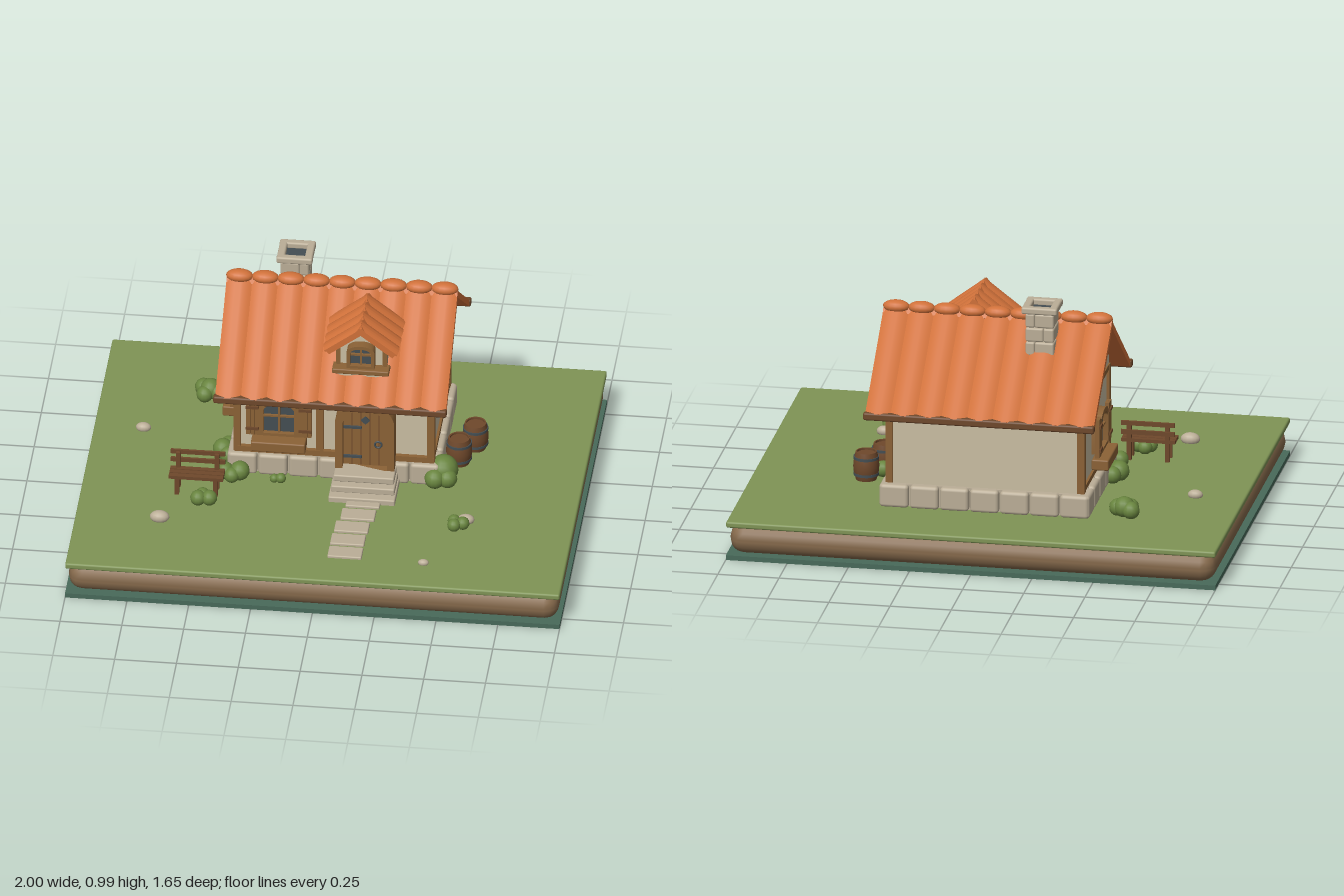
import * as THREE from 'three';
import { RoundedBoxGeometry } from 'three/addons/geometries/RoundedBoxGeometry.js';
import { toCreasedNormals } from 'three/addons/utils/BufferGeometryUtils.js';

const colours = {
  grass: 0x7f9455, soil: 0x85694b, base: 0x486a5a, plaster: 0xc9bda2, stone: 0xbbae97,
  tile: 0xd0713a, wood: 0x8b6236, darkWood: 0x6f482b, iron: 0x444e53, leaf: 0x69853f,
};
const M = {};
for (const k in colours) {
  M[k] = new THREE.MeshStandardMaterial({ color: colours[k] });
  M[k].name = k;
}

function add(parent, name, geo, mat, x = 0, y = 0, z = 0) {
  const m = new THREE.Mesh(geo, mat);
  m.name = name;
  m.position.set(x, y, z);
  parent.add(m);
  return m;
}
function group(parent, name, x = 0, y = 0, z = 0, ry = 0) {
  const g = new THREE.Group();
  g.name = name;
  g.position.set(x, y, z);
  g.rotation.y = ry;
  parent.add(g);
  return g;
}
// Boxes given by their minimum and maximum on each axis
const box = (p, name, mat, x0, x1, y0, y1, z0, z1) =>
  add(p, name, new THREE.BoxGeometry(x1 - x0, y1 - y0, z1 - z0), mat, (x0 + x1) / 2, (y0 + y1) / 2, (z0 + z1) / 2);
const rbox = (p, name, mat, x0, x1, y0, y1, z0, z1, r = 0.01) =>
  add(p, name, new RoundedBoxGeometry(x1 - x0, y1 - y0, z1 - z0, 2, r), mat, (x0 + x1) / 2, (y0 + y1) / 2, (z0 + z1) / 2);
const extrude = (shape, depth) =>
  toCreasedNormals(new THREE.ExtrudeGeometry(shape, { depth, bevelEnabled: false, curveSegments: 12 }), 0.6);

// Arched outline standing on y0
function arch(w, h, rise, y0 = 0, Type = THREE.Shape) {
  const s = new Type();
  s.moveTo(-w / 2, y0);
  s.lineTo(w / 2, y0);
  s.lineTo(w / 2, h - rise);
  s.absellipse(0, h - rise, w / 2, rise, 0, Math.PI, false);
  s.lineTo(-w / 2, y0);
  return s;
}
function archFrame(w, h, rise, t, sill) {
  const s = arch(w + 2 * t, h + t, rise + t * 0.6, -sill);
  s.holes.push(arch(w, h, rise, 0, THREE.Path));
  return s;
}

// One roof slope: slab and arched tile strips running down +z from the ridge
function roofSlope(parent, name, width, count, length, angle, rise) {
  const g = group(parent, name);
  g.rotation.x = angle;
  box(g, 'roofSlab', M.tile, -width / 2, width / 2, -rise - 0.022, -rise, 0, length);
  const w = width / count;
  const s = new THREE.Shape();
  s.moveTo(-w / 2, -rise - 0.004);
  s.lineTo(w / 2, -rise - 0.004);
  s.lineTo(w / 2, -rise + 0.003);
  s.quadraticCurveTo(0, rise, -w / 2, -rise + 0.003);
  const geo = extrude(s, length + 0.006);
  for (let i = 0; i < count; i++) add(g, 'roofTile', geo, M.tile, -width / 2 + w * (i + 0.5), 0, 0);
}

function glazing(parent, w, h, rise, t, depth) {
  add(parent, 'windowFrame', extrude(archFrame(w, h, rise, t, 0.012), depth), M.wood);
  add(parent, 'glass', extrude(arch(w, h, rise), 0.008), M.iron, 0, 0, 0.012);
  box(parent, 'mullion', M.wood, -0.004, 0.004, 0, h, 0.018, 0.03);
  box(parent, 'transom', M.wood, -w / 2, w / 2, h * 0.52, h * 0.52 + 0.008, 0.018, 0.03);
}

// Window with shutters and planter box
function shutteredWindow(parent, x, y, z, ry) {
  const g = group(parent, 'shutteredWindow', x, y, z, ry);
  glazing(g, 0.125, 0.14, 0.035, 0.02, 0.04);
  for (const s of [-1, 1]) {
    for (const k of [-1, 0, 1]) {
      box(g, 'shutterPlank', M.wood, s * 0.107 + k * 0.017 - 0.008, s * 0.107 + k * 0.017 + 0.008, -0.01, 0.152, 0.024, 0.042);
    }
    for (const y0 of [0.015, 0.115]) box(g, 'shutterStrap', M.darkWood, s * 0.107 - 0.026, s * 0.107 + 0.026, y0, y0 + 0.012, 0.04, 0.048);
  }
  rbox(g, 'planterBox', M.wood, -0.11, 0.11, -0.07, -0.025, 0.005, 0.075, 0.006);
}

function bush(parent, x, z, blobs) {
  const g = group(parent, 'bush', x, 0.16, z);
  for (const [dx, dz, r] of blobs) add(g, 'foliage', new THREE.SphereGeometry(r, 14, 10), M.leaf, dx, r * 0.9, dz);
}

export function createModel() {
  const root = new THREE.Group();
  root.name = 'cottage';

  // Ground
  box(root, 'basePlate', M.base, -1, 1, 0, 0.02, -0.825, 0.825);
  rbox(root, 'soil', M.soil, -0.992, 0.992, 0.018, 0.142, -0.818, 0.818, 0.058);
  rbox(root, 'lawn', M.grass, -1, 1, 0.136, 0.162, -0.825, 0.825, 0.008);

  // Foundation stones
  box(root, 'foundationCore', M.stone, -0.405, 0.405, 0.15, 0.255, -0.505, 0.065);
  for (let i = 0; i < 7; i++) {
    const x = -0.43 + i * 0.86 / 7;
    for (const z of [0.03, -0.53]) rbox(root, 'foundationStone', M.stone, x + 0.003, x + 0.12, 0.16, 0.256, z, z + 0.06, 0.014);
  }
  for (let i = 0; i < 5; i++) {
    const z = -0.53 + i * 0.124;
    for (const x of [-0.43, 0.37]) rbox(root, 'foundationStone', M.stone, x, x + 0.06, 0.16, 0.256, z + 0.003, z + 0.121, 0.014);
  }

  // Walls and gables
  box(root, 'walls', M.plaster, -0.395, 0.395, 0.25, 0.63, -0.495, 0.055);
  const gable = new THREE.Shape([[-0.29, 0.62], [0.29, 0.62], [0.29, 0.66], [0, 0.88], [-0.29, 0.66]].map(p => new THREE.Vector2(...p)));
  const gableMesh = add(root, 'gable', extrude(gable, 0.8), M.plaster, -0.4, 0, -0.22);
  gableMesh.rotation.y = Math.PI / 2;

  // Timber framing
  for (const x of [-0.392, 0.392]) {
    for (const z of [0.058, -0.495]) box(root, 'cornerPost', M.wood, x - 0.015, x + 0.015, 0.26, 0.62, z - 0.014, z + 0.014);
    for (const y of [0.262, 0.6]) box(root, 'sideBeam', M.wood, x - 0.013, x + 0.013, y, y + 0.022, -0.49, 0.055);
  }
  box(root, 'middlePost', M.wood, -0.072, -0.043, 0.27, 0.6, 0.04, 0.071);
  box(root, 'frontSill', M.wood, -0.405, 0.405, 0.258, 0.283, 0.04, 0.073);
  box(root, 'frontTopBeam', M.wood, -0.405, 0.405, 0.59, 0.62, 0.04, 0.071);

  // Main roof
  const roof = group(root, 'mainRoof', 0, 0.915, -0.22);
  for (const ry of [0, Math.PI]) {
    const side = group(roof, 'roofSide', 0, 0, 0, ry);
    roofSlope(side, 'roofSlope', 0.934, 9, 0.525, 0.651, 0.014);
    rbox(side, 'eaveBeam', M.darkWood, -0.474, 0.47, -0.35, -0.318, 0.392, 0.424, 0.008);
  }
  for (let i = 0; i < 9; i++) {
    const cap = add(roof, 'ridgeCap', new THREE.SphereGeometry(1, 16, 10), M.tile, -0.467 + (i + 0.5) * 0.1038, -0.005, 0);
    cap.scale.set(0.055, 0.026, 0.033);
  }

  // Dormer
  const dormer = group(root, 'dormer', 0.115, 0, 0);
  const face = new THREE.Shape([[-0.1, 0.67], [0.1, 0.67], [0.1, 0.825], [0, 0.905], [-0.1, 0.825]].map(p => new THREE.Vector2(...p)));
  add(dormer, 'dormerBody', extrude(face, 0.215), M.plaster, 0, 0, -0.12);
  for (const s of [-1, 1]) {
    const side = group(dormer, 'dormerRoof', 0, 0.932, 0.003, s * Math.PI / 2);
    roofSlope(side, 'dormerSlope', 0.262, 4, 0.187, 0.655, 0.011);
    const rake = box(dormer, 'rakeBoard', M.wood, -0.085, 0.085, -0.01, 0.01, 0.095, 0.118);
    rake.position.x = s * 0.07;
    rake.position.y = 0.848;
    rake.rotation.z = -s * 0.655;
    box(dormer, 'dormerPost', M.wood, s * 0.094 - 0.009, s * 0.094 + 0.009, 0.7, 0.81, 0.085, 0.105);
  }
  glazing(group(dormer, 'dormerWindow', 0, 0.745, 0.094), 0.085, 0.08, 0.022, 0.014, 0.042);
  rbox(dormer, 'dormerSill', M.wood, -0.115, 0.115, 0.708, 0.73, 0.085, 0.145, 0.005);

  // Chimney
  const chimney = group(root, 'chimney', -0.197, 0, -0.31);
  for (let i = 0; i < 4; i++) {
    const y = 0.725 + i * 0.06;
    const cut = i % 2 ? 0.02 : -0.015;
    rbox(chimney, 'chimneyStone', M.stone, -0.058, cut, y, y + 0.058, -0.058, 0.058, 0.008);
    rbox(chimney, 'chimneyStone', M.stone, cut, 0.058, y, y + 0.058, -0.058, 0.058, 0.008);
  }
  box(chimney, 'flue', M.iron, -0.045, 0.045, 0.94, 0.97, -0.045, 0.045);
  for (const s of [-1, 1]) {
    rbox(chimney, 'chimneyCap', M.stone, -0.073, 0.073, 0.965, 0.994, s * 0.056 - 0.016, s * 0.056 + 0.016, 0.008);
    rbox(chimney, 'chimneyCap', M.stone, s * 0.056 - 0.016, s * 0.056 + 0.016, 0.965, 0.994, -0.06, 0.06, 0.008);
  }

  // Windows
  shutteredWindow(root, -0.22, 0.37, 0.058, 0);
  shutteredWindow(root, -0.397, 0.37, -0.22, -Math.PI / 2);

  // Door
  const door = group(root, 'door', 0.13, 0.242, 0.055);
  add(door, 'doorFrame', extrude(archFrame(0.18, 0.284, 0.08, 0.03, 0.004), 0.07), M.wood);
  add(door, 'doorPanel', extrude(arch(0.18, 0.284, 0.08), 0.035), M.wood);
  for (const x of [-0.054, -0.018, 0.018, 0.054]) box(door, 'plankGroove', M.darkWood, x - 0.002, x + 0.002, 0.002, 0.255, 0.03, 0.037);
  for (const y of [0.035, 0.175]) box(door, 'hinge', M.iron, -0.088, -0.015, y, y + 0.011, 0.034, 0.043);
  const peep = box(door, 'peepWindow', M.iron, -0.013, 0.013, 0.203, 0.229, 0.034, 0.042);
  peep.rotation.z = Math.PI / 4;
  add(door, 'handleRing', new THREE.TorusGeometry(0.014, 0.004, 8, 16), M.iron, 0.052, 0.105, 0.042);

  // Steps and path
  [[0.242, 0.18], [0.213, 0.215], [0.186, 0.255]].forEach(([y, z], i) =>
    rbox(root, 'step', M.stone, 0.01 - i * 0.006, 0.255 + i * 0.006, y - 0.03, y, 0.06, z, 0.006));
  [0.14, 0.13, 0.115, 0.11, 0.11].forEach((x, i) => {
    const z = 0.25 + i * 0.093;
    rbox(root, 'pathSlab', M.stone, x - 0.069, x + 0.069, 0.152, 0.173, z - 0.038, z + 0.038, 0.005);
  });

  // Bench
  const bench = group(root, 'bench', -0.535, 0.16, 0.235);
  for (const z of [-0.022, 0.005, 0.032]) box(bench, 'seatSlat', M.darkWood, -0.11, 0.11, 0.08, 0.094, z - 0.011, z + 0.011);
  for (const y of [0.115, 0.153]) box(bench, 'backSlat', M.darkWood, -0.11, 0.11, y, y + 0.018, -0.042, -0.032);
  for (const x of [-0.078, 0.078]) {
    box(bench, 'frontLeg', M.darkWood, x - 0.009, x + 0.009, 0, 0.08, 0.02, 0.038);
    box(bench, 'backLeg', M.darkWood, x - 0.009, x + 0.009, 0, 0.165, -0.035, -0.02);
    box(bench, 'legRail', M.darkWood, x - 0.006, x + 0.006, 0.066, 0.08, -0.03, 0.03);
  }

  // Barrels
  const profile = [[0, 0], [0.042, 0], [0.05, 0.03], [0.053, 0.058], [0.05, 0.088], [0.043, 0.118], [0.037, 0.118], [0.037, 0.11], [0, 0.11]];
  const barrelGeo = toCreasedNormals(new THREE.LatheGeometry(profile.map(p => new THREE.Vector2(...p)), 24), 0.6);
  for (const [x, z] of [[0.54, -0.21], [0.487, -0.095]]) {
    const barrel = group(root, 'barrel', x, 0.162, z);
    add(barrel, 'barrelBody', barrelGeo, M.darkWood);
    for (const y of [0.025, 0.093]) add(barrel, 'barrelHoop', new THREE.CylinderGeometry(0.0515, 0.0515, 0.011, 24), M.iron, 0, y, 0);
  }

  // Bushes
  bush(root, -0.56, -0.45, [[-0.03, -0.025, 0.036], [0.028, 0.005, 0.036], [-0.02, 0.025, 0.034], [0, -0.005, 0.043]]);
  bush(root, -0.5, 0.31, [[-0.02, 0.015, 0.032], [0.025, 0.01, 0.032], [-0.005, -0.012, 0.03]]);
  bush(root, -0.44, -0.03, [[-0.02, 0, 0.042], [0.005, 0.035, 0.036], [0, -0.04, 0.036]]);
  bush(root, -0.4, 0.12, [[-0.035, 0, 0.036], [0.025, 0, 0.04], [-0.005, 0.025, 0.032]]);
  bush(root, -0.22, 0.13, [[-0.015, 0, 0.018], [0.012, 0, 0.021]]);
  bush(root, 0.435, 0.06, [[-0.025, 0.03, 0.042], [0.005, -0.02, 0.06], [0.025, 0.02, 0.04]]);
  bush(root, 0.48, -0.16, [[0, 0, 0.034]]);
  bush(root, 0.535, 0.38, [[-0.015, -0.015, 0.026], [0.022, 0, 0.027], [-0.012, 0.018, 0.027]]);

  // Pebbles
  for (const [x, z, r] of [[-0.8, -0.185, 0.031], [-0.66, 0.46, 0.04], [0.43, 0.66, 0.022], [0.565, 0.335, 0.034]]) {
    const pebble = add(root, 'pebble', new THREE.SphereGeometry(r, 14, 10), M.stone, x, 0.16 + r * 0.4, z);
    pebble.scale.set(1, 0.65, 0.7);
  }
  return root;
}
